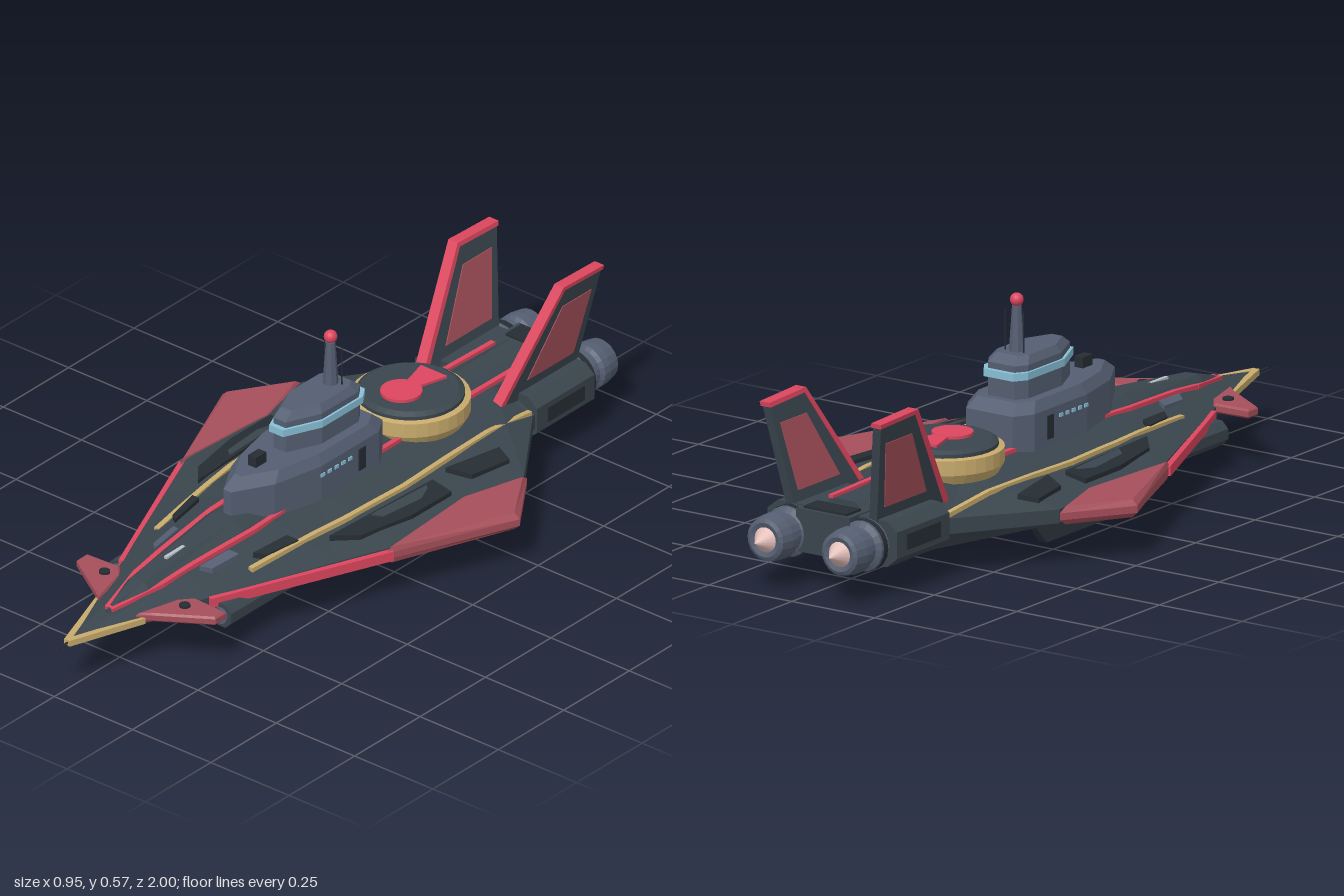
import * as THREE from 'three';

const mat = (name, color) => Object.assign(new THREE.MeshStandardMaterial({ color }), { name });

// Hull stations: z, edge half-width, ridge half-width, ridge y, edge top y, edge bottom y, belly half-width, belly y
const STATIONS = [
  [0.95, 0.004, 0.002, 0.133, 0.132, 0.128, 0.002, 0.127],
  [0.75, 0.07, 0.03, 0.155, 0.139, 0.12, 0.04, 0.112],
  [0.57, 0.14, 0.05, 0.178, 0.142, 0.118, 0.09, 0.1],
  [0.25, 0.27, 0.07, 0.198, 0.146, 0.115, 0.14, 0.076],
  [0.08, 0.34, 0.07, 0.2, 0.147, 0.112, 0.15, 0.068],
  [-0.2, 0.33, 0.065, 0.2, 0.147, 0.112, 0.16, 0.068],
  [-0.37, 0.355, 0.065, 0.2, 0.147, 0.112, 0.16, 0.068],
  [-0.6, 0.19, 0.06, 0.198, 0.15, 0.11, 0.15, 0.066],
  [-0.7, 0.17, 0.06, 0.195, 0.15, 0.11, 0.14, 0.068],
];

// Height of the deck above a point
function deckY(x, z) {
  let i = 0;
  while (i < STATIONS.length - 2 && z < STATIONS[i + 1][0]) i++;
  const a = STATIONS[i], b = STATIONS[i + 1];
  const t = THREE.MathUtils.clamp((a[0] - z) / (a[0] - b[0]), 0, 1);
  const [, w, s, ys, yt] = a.map((v, k) => v + (b[k] - v) * t);
  const u = THREE.MathUtils.clamp((Math.abs(x) - s) / (w - s), 0, 1);
  return ys + (yt - ys) * u;
}

// Full ring from a right half listed upward
const mirrorRing = (half) => [...half, ...half.filter((p) => p[0] > 0).reverse().map(([x, y]) => [-x, y])];

// Flat-faced loft through rings, listed from the highest z to the lowest
function loft(sections) {
  const pos = [];
  const tri = (...v) => v.forEach((p) => pos.push(...p));
  const rings = sections.map(([z, half]) => mirrorRing(half).map(([x, y]) => [x, y, z]));
  const n = rings[0].length, last = rings[rings.length - 1];
  for (let i = 0; i < rings.length - 1; i++) {
    for (let j = 0; j < n; j++) {
      const k = (j + 1) % n, a = rings[i][j], b = rings[i][k], c = rings[i + 1][k], d = rings[i + 1][j];
      tri(a, d, c);
      tri(a, c, b);
    }
  }
  for (let j = 1; j < n - 1; j++) {
    tri(rings[0][0], rings[0][j], rings[0][j + 1]);
    tri(last[0], last[j + 1], last[j]);
  }
  const g = new THREE.BufferGeometry();
  g.setAttribute('position', new THREE.Float32BufferAttribute(pos, 3));
  g.computeVertexNormals();
  return g;
}

// Deckhouse tier: plan outline (x, z) from the bow aft, with [y, scale] levels from the top down
const tier = (outline, levels, zc) => loft(levels.map(([y, k]) =>
  [y, outline.map(([x, z]) => [x * k, -(zc + (z - zc) * k)])])).rotateX(-Math.PI / 2);

const shapeOf = (pts) => new THREE.Shape(pts.map(([x, y]) => new THREE.Vector2(x, y)));

// Horizontal slab from (x, z) points
function slab(pts, yTop, thick, bevel = 0) {
  return new THREE.ExtrudeGeometry(shapeOf(pts), {
    depth: thick - 2 * bevel, bevelEnabled: bevel > 0, bevelSize: bevel,
    bevelThickness: bevel, bevelOffset: -bevel, bevelSegments: 1,
  }).rotateX(Math.PI / 2).translate(0, yTop - bevel, 0);
}

// Upright plate from (z, y) points, centred on x
const plate = (pts, thick) => new THREE.ExtrudeGeometry(shapeOf(pts), { depth: thick, bevelEnabled: false })
  .rotateY(-Math.PI / 2).translate(thick / 2, 0, 0);

function warp(g, fn) {
  const p = g.attributes.position, v = new THREE.Vector3();
  for (let i = 0; i < p.count; i++) {
    fn(v.fromBufferAttribute(p, i));
    p.setXYZ(i, v.x, v.y, v.z);
  }
  g.computeVertexNormals();
  return g;
}

const flat = (g) => {
  const f = g.toNonIndexed();
  f.computeVertexNormals();
  return f;
};
const box = (w, h, d, x, y, z) => new THREE.BoxGeometry(w, h, d).translate(x, y, z);
const lathe = (pts, n) => flat(new THREE.LatheGeometry(pts.map(([r, y]) => new THREE.Vector2(r, y)), n));

export function createModel() {
  const M = {
    hull: mat('hull slate', 0x3a454d), dark: mat('dark panel', 0x262d33), steel: mat('blue steel', 0x555f72),
    red: mat('bright red', 0xdc465e), wing: mat('dull red', 0xa64f5a), gold: mat('gold', 0xc8ab6c),
    glass: mat('window blue', 0x88c0d6), flame: mat('exhaust pink', 0xe2beb8), pale: mat('pale grey', 0xb9c0c6),
  };
  const ship = new THREE.Group();
  ship.name = 'ship';
  const add = (name, g, m, parent = ship) => {
    const mesh = new THREE.Mesh(g, m);
    mesh.name = name;
    parent.add(mesh);
    return mesh;
  };

  // Straight bar between two points
  const bar = (name, a, b, w, h, m, parent) => {
    const A = new THREE.Vector3(...a), B = new THREE.Vector3(...b);
    const mesh = add(name, new THREE.BoxGeometry(w, h, A.distanceTo(B)), m, parent);
    mesh.position.copy(A).add(B).multiplyScalar(0.5);
    mesh.lookAt(B);
  };
  // Stripe following the deck through (x, z) points
  const stripe = (name, pts, w, m, parent) => {
    for (let i = 0; i < pts.length - 1; i++) {
      const at = (t) => {
        const x = pts[i][0] + (pts[i + 1][0] - pts[i][0]) * t, z = pts[i][1] + (pts[i + 1][1] - pts[i][1]) * t;
        return [x, deckY(x, z) + 0.003, z];
      };
      for (let k = 0; k < 3; k++) bar(name, at(k / 3), at((k + 1) / 3), w, 0.012, m, parent);
    }
  };

  // Main hull and raised spine
  add('hull', loft(STATIONS.map(([z, w, s, ys, yt, yb, b, yl]) => [z, [[b, yl], [w, yb], [w, yt], [s, ys]]])), M.hull);
  add('spine', loft([[0.8, 0.004, 0.145, 0.155], [0.68, 0.034, 0.15, 0.19], [0.35, 0.06, 0.17, 0.222],
    [-0.2, 0.058, 0.17, 0.212], [-0.78, 0.055, 0.17, 0.208]]
    .map(([z, s, y0, y1]) => [z, [[s, y0], [s, y0 + (y1 - y0) * 0.6], [s * 0.55, y1]]])), M.hull);
  add('sternBlock', box(0.16, 0.11, 0.27, 0, 0.14, -0.735), M.hull);
  add('sternVent', box(0.13, 0.008, 0.06, 0, 0.197, -0.83), M.dark);
  add('bowMark', box(0.01, 0.008, 0.07, 0, 0.203, 0.54), M.pale);
  add('bowProbe', new THREE.CylinderGeometry(0.002, 0.004, 0.07, 6).rotateX(Math.PI / 2).translate(0, 0.13, 0.965), M.dark);

  // Keel
  add('keel', plate([[0.27, 0.09], [0.1, 0.02], [-0.6, 0], [-0.66, 0.08]], 0.036), M.dark);
  add('keelPanel', plate([[0.1, 0.062], [0.06, 0.035], [-0.54, 0.025], [-0.57, 0.062]], 0.042), M.wing);

  // Deckhouse, bridge and mast
  const lower = [[0.012, 0.34], [0.07, 0.24], [0.1, 0.1], [0.1, -0.12], [0.07, -0.17]];
  const upper = [[0.02, 0.14], [0.06, 0.05], [0.06, -0.09], [0.04, -0.12]];
  add('deckhouse', tier(lower, [[0.315, 0.86], [0.288, 1], [0.17, 1]], 0.05), M.steel);
  add('bridge', tier(upper, [[0.42, 0.8], [0.4, 1], [0.31, 1]], 0.01), M.steel);
  add('bridgeWindows', tier(upper, [[0.384, 1.1], [0.365, 1.1]], 0.01), M.glass);
  add('foreHatch', box(0.025, 0.03, 0.04, 0, 0.328, 0.225), M.dark);
  add('mast', flat(new THREE.CylinderGeometry(0.012, 0.02, 0.12, 8).translate(0, 0.475, -0.055)), M.steel);
  add('mastLight', new THREE.SphereGeometry(0.017, 16, 12).translate(0, 0.55, -0.055), M.red);

  // Round turret
  const turret = new THREE.Group();
  turret.name = 'turret';
  turret.position.z = -0.36;
  ship.add(turret);
  add('turretDrum', lathe([[0.1, 0.175], [0.135, 0.187], [0.149, 0.212], [0.149, 0.25], [0.128, 0.254]], 32), M.gold, turret);
  add('turretTop', lathe([[0.134, 0.24], [0.134, 0.262], [0.12, 0.27], [0, 0.27]], 32), M.hull, turret);
  add('turretCap', new THREE.CylinderGeometry(0.052, 0.052, 0.009, 24).translate(0, 0.2735, 0.035), M.red, turret);
  add('turretPlate', slab([[-0.042, -0.09], [0.042, -0.09], [0.02, -0.01], [-0.02, -0.01]], 0.277, 0.008), M.red, turret);

  // Everything paired is built on the left and mirrored
  const left = new THREE.Group();
  left.name = 'leftSide';
  const put = (name, g, m) => add(name, g, m, left);

  // Wing, edge trim and canard
  put('wing', slab([[0.33, 0.13], [0.475, -0.21], [0.36, -0.375], [0.3, -0.19]], 0.153, 0.046, 0.014), M.wing);
  bar('edgeTrim', [0.14, 0.13, 0.575], [0.335, 0.13, 0.11], 0.018, 0.026, M.red, left);
  put('canard', slab([[0.06, 0.76], [0.09, 0.735], [0.222, 0.65], [0.222, 0.61], [0.12, 0.605], [0.09, 0.64]], 0.15, 0.024, 0.005), M.wing);
  put('canardPivot', new THREE.CylinderGeometry(0.014, 0.014, 0.008, 12).translate(0.128, 0.152, 0.655), M.dark);
  bar('bowTrim', [0.001, 0.131, 0.95], [0.072, 0.131, 0.745], 0.016, 0.016, M.gold, left);

  // Deck stripes
  stripe('goldStripe', [[0.15, 0.43], [0.19, 0.1], [0.197, -0.1], [0.18, -0.6]], 0.014, M.gold, left);
  stripe('redStripe', [[0.006, 0.79], [0.042, 0.64], [0.07, 0.32], [0.068, -0.2], [0.062, -0.75]], 0.014, M.red, left);
  bar('bellyStripe', [0.07, 0.092, 0.5], [0.11, 0.067, 0.08], 0.012, 0.008, M.red, left);
  bar('bellyStripe', [0.11, 0.067, 0.08], [0.11, 0.066, -0.55], 0.012, 0.008, M.red, left);

  // Raised deck plates that follow the slope
  const deckPlate = (pts, m) => put('deckPlate',
    warp(slab(pts, 0.012, 0.022), (v) => { v.y += deckY(v.x, v.z); }), m);
  deckPlate([[0.22, -0.23], [0.28, -0.26], [0.3, -0.38], [0.25, -0.4]], M.dark);
  deckPlate([[0.21, 0.2], [0.26, 0.14], [0.29, -0.02], [0.29, -0.17], [0.23, -0.17]], M.dark);
  deckPlate([[0.225, 0.06], [0.25, 0.04], [0.265, -0.12], [0.235, -0.14]], M.hull);
  deckPlate([[0.07, 0.53], [0.095, 0.51], [0.105, 0.42], [0.08, 0.43]], M.steel);
  deckPlate([[0.125, 0.39], [0.15, 0.37], [0.17, 0.27], [0.14, 0.28]], M.dark);

  // Under-slung pods and canted lower fins
  put('sidePod', flat(new THREE.CylinderGeometry(0.034, 0.034, 0.86, 8).rotateY(Math.PI / 8)
    .rotateX(Math.PI / 2).translate(0.165, 0.096, 0.13)), M.hull);
  put('podCap', new THREE.CylinderGeometry(0.022, 0.022, 0.008, 12).rotateX(Math.PI / 2).translate(0.165, 0.096, 0.562), M.steel);
  put('lowerFin', warp(plate([[0.0, 0.115], [-0.08, 0.045], [-0.34, 0.045], [-0.38, 0.115]], 0.022),
    (v) => { v.x += 0.262 + (0.115 - v.y) * 0.3; }), M.dark);

  // Engine nacelle, nozzle and exhaust
  const block = [[0.05, 0.075], [0.165, 0.075], [0.195, 0.1], [0.195, 0.168], [0.165, 0.192], [0.05, 0.192]];
  put('nacelle', new THREE.ExtrudeGeometry(shapeOf(block), { depth: 0.22, bevelEnabled: false }).translate(0, 0, -0.83), M.hull);
  put('nacellePanel', box(0.008, 0.04, 0.14, 0.194, 0.135, -0.72), M.dark);
  put('nozzle', lathe([[0.05, 0], [0.064, 0.01], [0.064, 0.04], [0.05, 0.048], [0.05, 0.066], [0.06, 0.074],
    [0.06, 0.095], [0.054, 0.13], [0.044, 0.135], [0, 0.12]], 20).rotateX(-Math.PI / 2).translate(0.112, 0.128, -0.825), M.steel);
  put('nozzleBand', new THREE.CylinderGeometry(0.066, 0.066, 0.015, 20).rotateX(Math.PI / 2).translate(0.112, 0.128, -0.85), M.dark);
  put('exhaust', new THREE.ConeGeometry(0.04, 0.055, 16).rotateX(-Math.PI / 2).translate(0.112, 0.128, -0.9725), M.flame);

  // Canted tail fin with red edge, cap and panels
  const cant = (g) => warp(g, (v) => { v.x += 0.122 + (v.y - 0.17) * 0.165; });
  put('tailFin', cant(plate([[-0.55, 0.17], [-0.735, 0.45], [-0.875, 0.445], [-0.83, 0.17]], 0.024)), M.hull);
  put('finPanel', cant(plate([[-0.635, 0.22], [-0.735, 0.395], [-0.845, 0.395], [-0.81, 0.22]], 0.029)), M.wing);
  put('finEdge', cant(plate([[-0.53, 0.17], [-0.725, 0.457], [-0.74, 0.457], [-0.55, 0.17]], 0.03)), M.red);
  put('finCap', cant(plate([[-0.725, 0.457], [-0.88, 0.452], [-0.878, 0.44], [-0.735, 0.445]], 0.03)), M.red);

  // Deckhouse details
  for (let i = 0; i < 5; i++) put('porthole', box(0.006, 0.009, 0.014, 0.1, 0.262, 0.095 - i * 0.026), M.glass);
  put('door', box(0.006, 0.06, 0.026, 0.1, 0.242, -0.055), M.dark);
  put('antenna', new THREE.CylinderGeometry(0.0015, 0.002, 0.11, 6).translate(0.028, 0.47, -0.065), M.dark);

  const right = left.clone();
  right.name = 'rightSide';
  right.scale.x = -1;
  ship.add(left, right);
  return ship;
}
